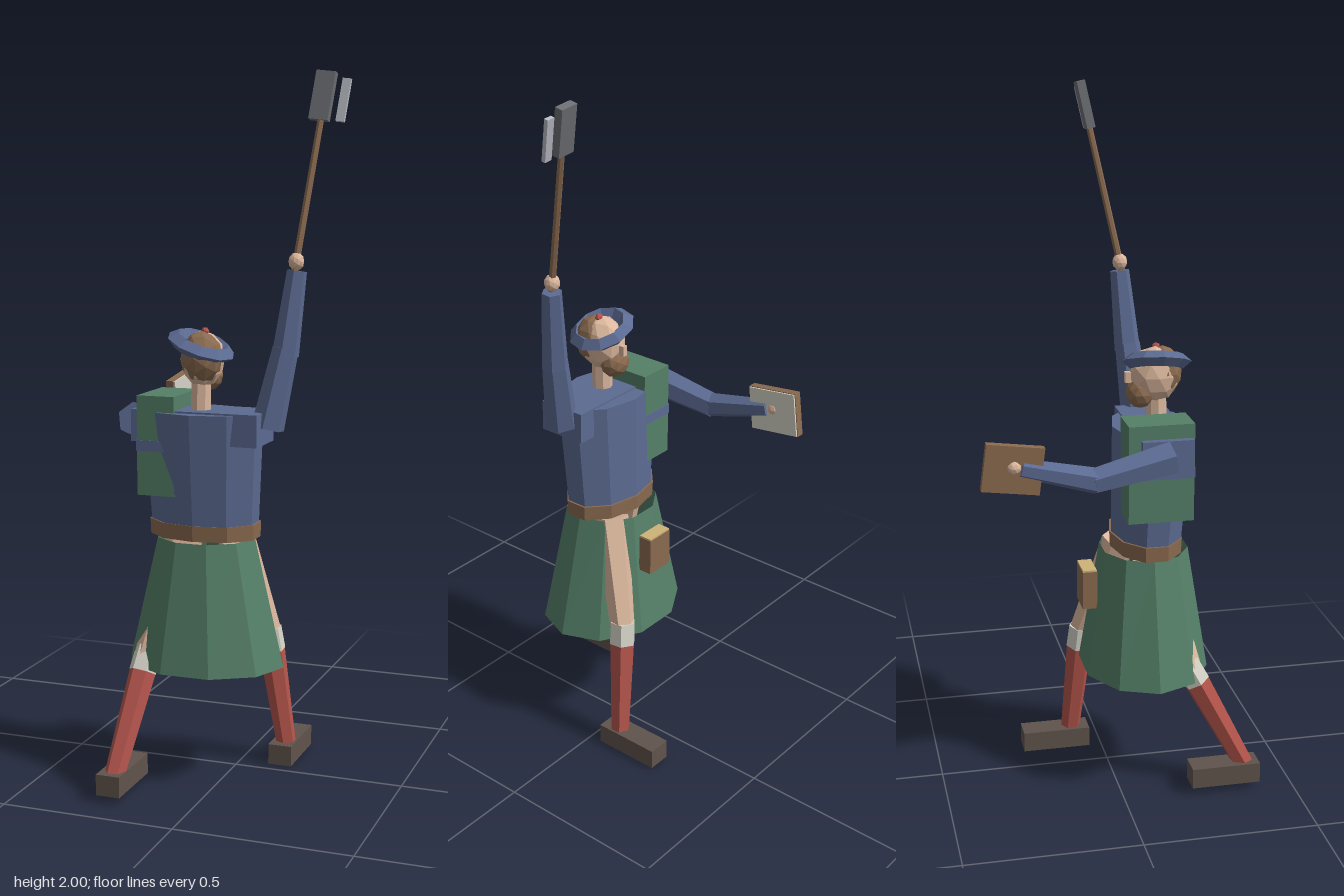
import * as THREE from 'three';

const mat = (name, color) => {
  const m = new THREE.MeshStandardMaterial({ color, flatShading: true, side: THREE.DoubleSide });
  m.name = name;
  return m;
};

export function createModel() {
  const root = new THREE.Group();
  root.name = 'kiltedFighter';
  const blue = mat('blueCloth', 0x5c6b92), green = mat('greenWool', 0x558068);
  const red = mat('redSock', 0xb4554c), pale = mat('paleLinen', 0xd6d4c8);
  const shoe = mat('darkLeather', 0x60534c), brown = mat('brown', 0x8b6b50);
  const skin = mat('skin', 0xdcb89e), tan = mat('tanLeather', 0xcdb377);
  const iron = mat('iron', 0x6f7075), steel = mat('steel', 0xb9bdc5);

  const add = (name, geo, m, pos = [0, 0, 0], rot = [0, 0, 0], parent = root) => {
    const mesh = new THREE.Mesh(geo, m);
    mesh.name = name;
    mesh.position.set(...pos);
    mesh.rotation.set(...rot);
    parent.add(mesh);
    return mesh;
  };
  const box = (name, m, size, pos, rot, parent) =>
    add(name, new THREE.BoxGeometry(...size), m, pos, rot, parent);
  const ball = (name, m, pos, size, detail = 1) =>
    add(name, new THREE.IcosahedronGeometry(1, detail).scale(...size), m, pos);

  // Tapered faceted limb from a to b
  const up = new THREE.Vector3(0, 1, 0);
  const limb = (name, m, a, b, ra, rb, sides = 6) => {
    const A = new THREE.Vector3(...a), B = new THREE.Vector3(...b);
    const dir = B.clone().sub(A);
    const mesh = add(name, new THREE.CylinderGeometry(rb, ra, dir.length(), sides), m);
    mesh.position.copy(A).add(B).multiplyScalar(0.5);
    mesh.quaternion.setFromUnitVectors(up, dir.normalize());
    return mesh;
  };

  // Ten-sided elliptical shell; each end is [y, radiusX, radiusZ, centreZ]
  const shell = (name, m, bottom, top, open, turn = 0, sides = 10) => {
    const geo = new THREE.CylinderGeometry(1, 1, 1, sides, 1, open, turn);
    const p = geo.attributes.position;
    for (let i = 0; i < p.count; i++) {
      const [y, rx, rz, cz] = p.getY(i) > 0 ? top : bottom;
      p.setXYZ(i, p.getX(i) * rx - 0.055, y, p.getZ(i) * rz + cz);
    }
    geo.computeVertexNormals();
    return add(name, geo, m);
  };

  // Body
  shell('kilt', green, [0.345, 0.232, 0.186, 0.095], [0.71, 0.144, 0.127, 0.095], true, Math.PI / 10);
  shell('torso', blue, [0.72, 0.155, 0.1, 0.1], [1.07, 0.175, 0.113, 0.116], false);
  shell('belt', brown, [0.713, 0.161, 0.103, 0.1], [0.757, 0.163, 0.105, 0.1], false);
  box('shoulders', blue, [0.37, 0.09, 0.145], [-0.055, 1.03, 0.122]);

  // Folded plaid over the shoulder, with a woven stripe
  box('shoulderPlaid', green, [0.11, 0.28, 0.185], [-0.165, 0.975, 0.108]);
  box('plaidStripe', blue, [0.114, 0.03, 0.189], [-0.165, 0.975, 0.108]);

  // Pouch hanging in front
  box('pouch', brown, [0.09, 0.112, 0.042], [-0.055, 0.597, -0.07]);
  box('pouchTop', tan, [0.088, 0.006, 0.04], [-0.055, 0.655, -0.07]);

  // Head, hair, beard and bonnet
  limb('neck', skin, [-0.057, 1.06, 0.13], [-0.055, 1.17, 0.13], 0.03, 0.028, 8);
  ball('head', skin, [-0.052, 1.215, 0.125], [0.06, 0.08, 0.073]);
  ball('hair', brown, [-0.047, 1.222, 0.148], [0.059, 0.073, 0.056]);
  ball('beard', brown, [-0.055, 1.165, 0.082], [0.046, 0.045, 0.04]);
  box('nose', skin, [0.016, 0.03, 0.02], [-0.052, 1.21, 0.05]);
  const brim = new THREE.TorusGeometry(0.073, 0.025, 4, 10).rotateX(Math.PI / 2).scale(1, 0.85, 1);
  add('bonnet', brim, blue, [-0.055, 1.252, 0.13], [0.08, 0, -0.36]);
  ball('bonnetTuft', red, [-0.043, 1.292, 0.13], [0.012, 0.012, 0.012], 0);

  // Legs: hip, knee, ankle, shoe centre
  const legs = [
    ['left', [0.015, 0.7, 0.04], [0.083, 0.39, -0.063], [0.127, 0.05, -0.09], [0.123, 0.032, -0.138]],
    ['right', [-0.12, 0.7, 0.1], [-0.195, 0.375, 0.2], [-0.23, 0.06, 0.365], [-0.232, 0.052, 0.3]],
  ];
  for (const [side, hip, knee, ankle, foot] of legs) {
    const along = (t) => knee.map((v, i) => v + (ankle[i] - v) * t);
    limb(side + 'Thigh', skin, hip, knee, 0.053, 0.036);
    limb(side + 'SockCuff', pale, along(-0.06), along(0.14), 0.038, 0.04);
    limb(side + 'Sock', red, along(0.1), ankle, 0.039, 0.029);
    box(side + 'Shoe', shoe, [0.07, 0.06, 0.202], foot);
  }

  // Raised arm
  limb('raisedUpperArm', blue, [0.135, 1.03, 0.118], [0.18, 1.25, 0.098], 0.047, 0.037);
  limb('raisedForearm', blue, [0.179, 1.23, 0.098], [0.205, 1.46, 0.08], 0.038, 0.028);
  ball('raisedHand', skin, [0.203, 1.485, 0.08], [0.022, 0.025, 0.022]);

  // Outstretched arm
  limb('forwardUpperArm', blue, [-0.26, 1.035, 0.125], [-0.29, 0.993, -0.1], 0.05, 0.038);
  limb('forwardForearm', blue, [-0.289, 0.993, -0.085], [-0.295, 1.045, -0.293], 0.037, 0.027);
  ball('forwardHand', skin, [-0.297, 1.05, -0.312], [0.023, 0.022, 0.022]);

  // Small board with a pale face
  const board = new THREE.Group();
  board.name = 'board';
  board.position.set(-0.297, 1.045, -0.315);
  board.rotation.x = 0.13;
  root.add(board);
  box('boardBack', brown, [0.024, 0.13, 0.157], [0, 0, 0], [0, 0, 0], board);
  box('boardFace', pale, [0.006, 0.126, 0.153], [0.014, 0, 0], [0, 0, 0], board);

  // Long-hafted axe, aligned with its haft
  const axe = new THREE.Group();
  axe.name = 'axe';
  axe.position.set(0.2, 1.46, 0.085);
  axe.quaternion.setFromUnitVectors(up, new THREE.Vector3(0.055, 0.5, -0.105).normalize());
  root.add(axe);
  add('haft', new THREE.CylinderGeometry(0.009, 0.01, 0.5, 6), brown, [0, 0.25, 0], [0, 0, 0], axe);
  box('axeHead', iron, [0.055, 0.134, 0.024], [-0.005, 0.481, 0], [0, 0, 0], axe);
  box('axeBlade', steel, [0.024, 0.118, 0.012], [0.055, 0.475, 0], [0, 0, 0], axe);

  return root;
}
